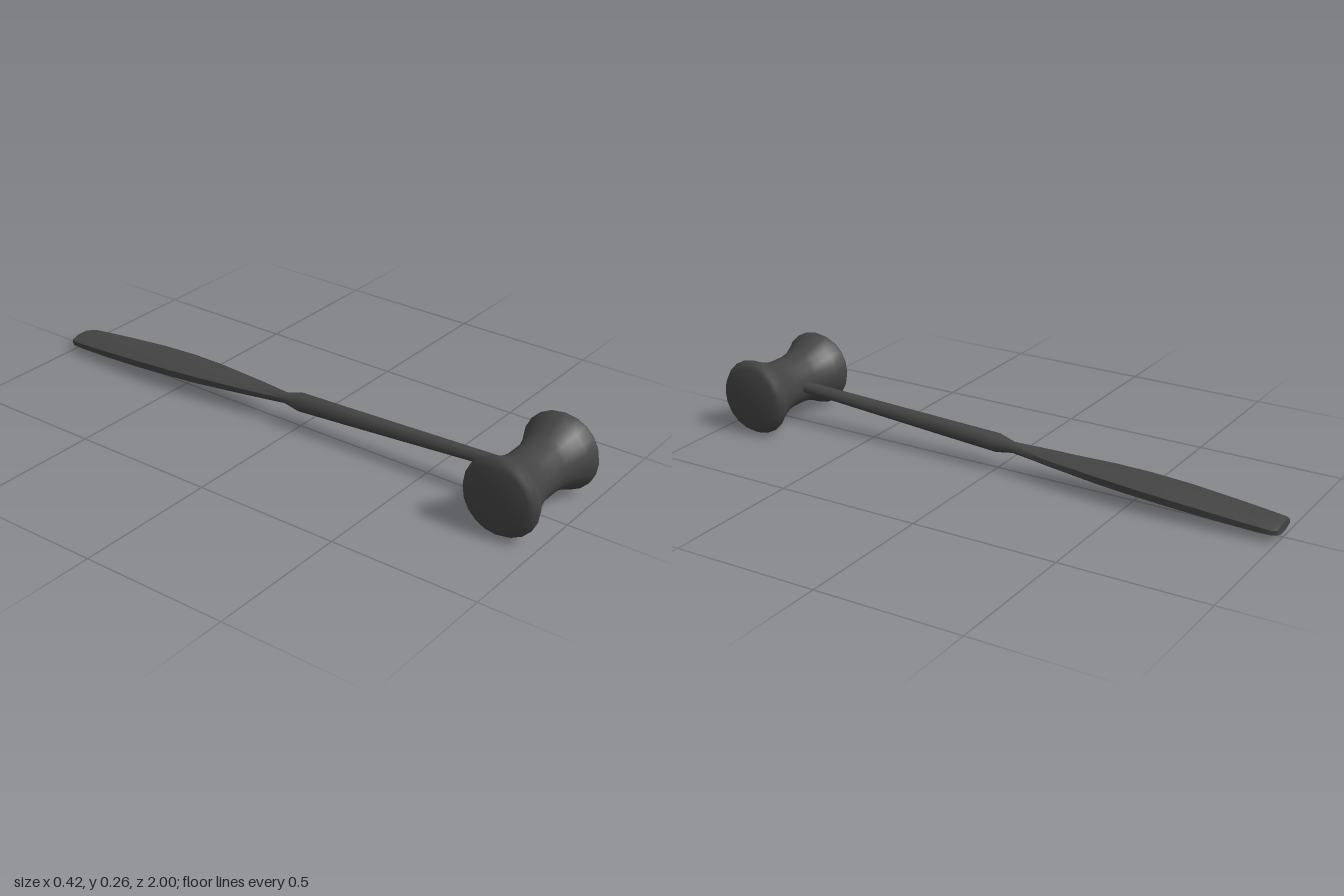
import * as THREE from 'three';
import { toCreasedNormals } from 'three/addons/utils/BufferGeometryUtils.js';

const material = new THREE.MeshStandardMaterial({ color: 0x444444 });

// Eight-sided loft along -z; each station is [z, half width, top y, bottom y].
function loft(stations, sides = 8) {
  const positions = [], index = [];
  const k = 1 / Math.cos(Math.PI / sides);
  stations.forEach(([z, w, top, bottom]) => {
    for (let j = 0; j < sides; j++) {
      const a = ((j + 0.5) / sides) * Math.PI * 2;
      positions.push(w * k * Math.cos(a), (top + bottom) / 2 + ((top - bottom) / 2) * k * Math.sin(a), z);
    }
  });
  for (let i = 0; i < stations.length - 1; i++) {
    for (let j = 0; j < sides; j++) {
      const a = i * sides + j, b = i * sides + ((j + 1) % sides);
      index.push(a, a + sides, b, b, a + sides, b + sides);
    }
  }
  // End cap
  const last = (stations.length - 1) * sides;
  for (let j = 1; j < sides - 1; j++) index.push(last, last + j + 1, last + j);
  const geometry = new THREE.BufferGeometry();
  geometry.setAttribute('position', new THREE.Float32BufferAttribute(positions, 3));
  geometry.setIndex(index);
  return toCreasedNormals(geometry, 1.0);
}

export function createModel() {
  const group = new THREE.Group();
  group.name = 'mallet';

  // Waisted head with flared, slightly domed faces, turned around the x axis
  const half = [[0.088, 0.04], [0.093, 0.073], [0.102, 0.105], [0.114, 0.135], [0.132, 0.172],
    [0.121, 0.19], [0.103, 0.2], [0.05, 0.208], [0, 0.209]];
  const profile = [
    ...half.slice().reverse().map(([r, x]) => new THREE.Vector2(r, -x)),
    ...half.map(([r, x]) => new THREE.Vector2(r, x)),
  ];
  const head = new THREE.Mesh(new THREE.LatheGeometry(profile, 20), material);
  head.name = 'head';
  head.rotation.z = -Math.PI / 2;
  head.position.set(0, 0.134, 0.868);
  group.add(head);

  // Slim shaft, collar, pinched neck and swelling grip in one piece
  const handle = new THREE.Mesh(loft([
    [0.84, 0.022, 0.15, 0.115],
    [0.75, 0.023, 0.147, 0.112],
    [0.2, 0.027, 0.127, 0.074],
    [0.0, 0.033, 0.119, 0.062],
    [-0.06, 0.02, 0.103, 0.07],
    [-0.2, 0.042, 0.102, 0.058],
    [-0.4, 0.065, 0.099, 0.044],
    [-0.52, 0.073, 0.094, 0.038],
    [-0.66, 0.075, 0.085, 0.03],
    [-0.82, 0.07, 0.071, 0.021],
    [-0.94, 0.063, 0.059, 0.016],
    [-0.985, 0.059, 0.054, 0.016],
    [-1.0, 0.05, 0.051, 0.019],
  ]), material);
  handle.name = 'handle';
  group.add(handle);

  return group;
}
